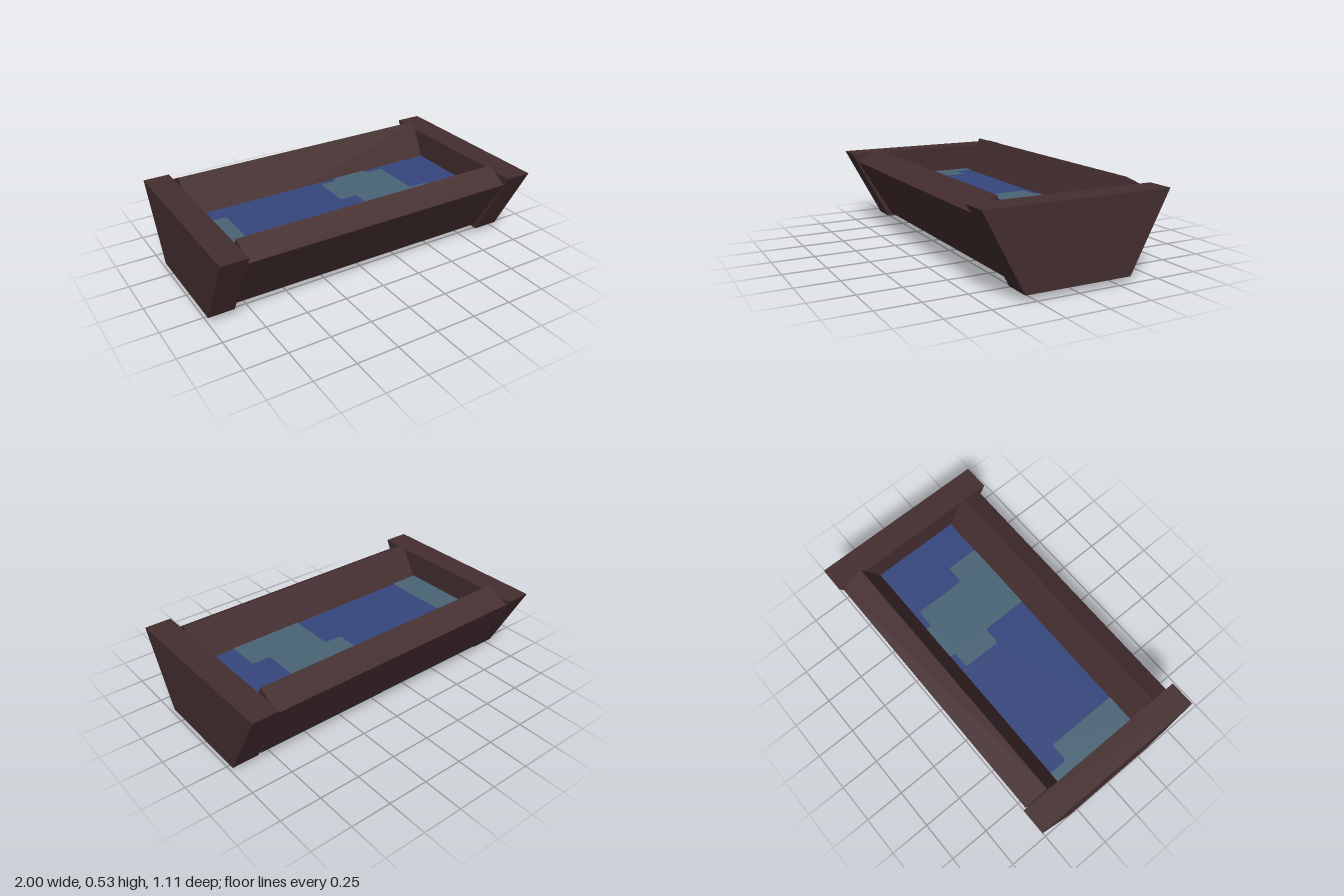
import * as THREE from 'three';

const wood = new THREE.MeshStandardMaterial({ name: 'darkWood', color: 0x442d2f });
const water = new THREE.MeshStandardMaterial({ name: 'blueWater', color: 0x35467c });
const paleWater = new THREE.MeshStandardMaterial({ name: 'paleWater', color: 0x496475 });

// Solid with a [z, y] cross-section, running along x from x0 to x1
function plank(name, section, x0, x1) {
  const shape = new THREE.Shape(section.map(([z, y]) => new THREE.Vector2(-z, y)));
  const geometry = new THREE.ExtrudeGeometry(shape, { depth: x1 - x0, bevelEnabled: false });
  geometry.rotateY(Math.PI / 2).translate(x0, 0, 0);
  const mesh = new THREE.Mesh(geometry, wood);
  mesh.name = name;
  return mesh;
}

// Tilted board section: top inner and outer corners, then square down by the given length
function boardSection(inner, outer, length) {
  const dz = outer[0] - inner[0], dy = outer[1] - inner[1];
  const k = length / Math.hypot(dz, dy), s = Math.sign(dz);
  const drop = ([z, y]) => [z + s * dy * k, y - s * dz * k];
  return [inner, outer, drop(outer), drop(inner)];
}

// Flat horizontal patch from [x, z] corners, each corner slightly rounded
function patch(name, corners, y, material, radius) {
  const pts = corners.map(([x, z]) => new THREE.Vector2(x, -z));
  const shape = new THREE.Shape();
  pts.forEach((p, i) => {
    const toward = (q) => q.clone().sub(p).setLength(radius).add(p);
    const a = toward(pts.at(i - 1)), b = toward(pts[(i + 1) % pts.length]);
    if (i === 0) shape.moveTo(a.x, a.y);
    else shape.lineTo(a.x, a.y);
    shape.quadraticCurveTo(p.x, p.y, b.x, b.y);
  });
  shape.closePath();
  const mesh = new THREE.Mesh(new THREE.ShapeGeometry(shape, 4).rotateX(-Math.PI / 2), material);
  mesh.position.y = y;
  mesh.name = name;
  return mesh;
}

export function createModel() {
  const group = new THREE.Group();
  group.name = 'waterTrough';

  // Trapezoid end blocks
  const end = [[-0.317, 0.04], [0.317, 0.04], [0.555, 0.487], [-0.555, 0.487]];
  group.add(plank('rightEnd', end, -1, -0.845), plank('leftEnd', end, 0.84, 1));

  // Leaning side boards and the floor board
  group.add(
    plank('frontBoard', boardSection([0.39, 0.513], [0.52, 0.435], 0.437), -0.84, 0.84),
    plank('backBoard', boardSection([-0.39, 0.533], [-0.535, 0.461], 0.434), -0.84, 0.84),
    plank('floorBoard', [[-0.25, 0], [0.183, 0], [0.183, 0.14], [-0.25, 0.14]], -0.84, 0.84),
  );

  // Water surface with pale patches just above it
  const surface = new THREE.Mesh(new THREE.PlaneGeometry(1.69, 0.62).rotateX(-Math.PI / 2), water);
  surface.name = 'waterSurface';
  surface.position.set(0, 0.32, -0.01);
  group.add(surface);
  group.add(patch('endPatch', [
    [-0.86, -0.32], [-0.77, -0.32], [-0.77, -0.17], [-0.655, -0.17], [-0.655, 0.3], [-0.86, 0.3],
  ], 0.323, paleWater, 0.015));
  group.add(patch('middlePatch', [
    [0.14, -0.32], [0.37, -0.32], [0.37, -0.25], [0.485, -0.25], [0.485, 0.07], [0.6, 0.07],
    [0.6, 0.3], [0.14, 0.3], [0.14, -0.01], [0.03, -0.01], [0.03, -0.25], [0.14, -0.25],
  ], 0.323, paleWater, 0.015));

  return group;
}
